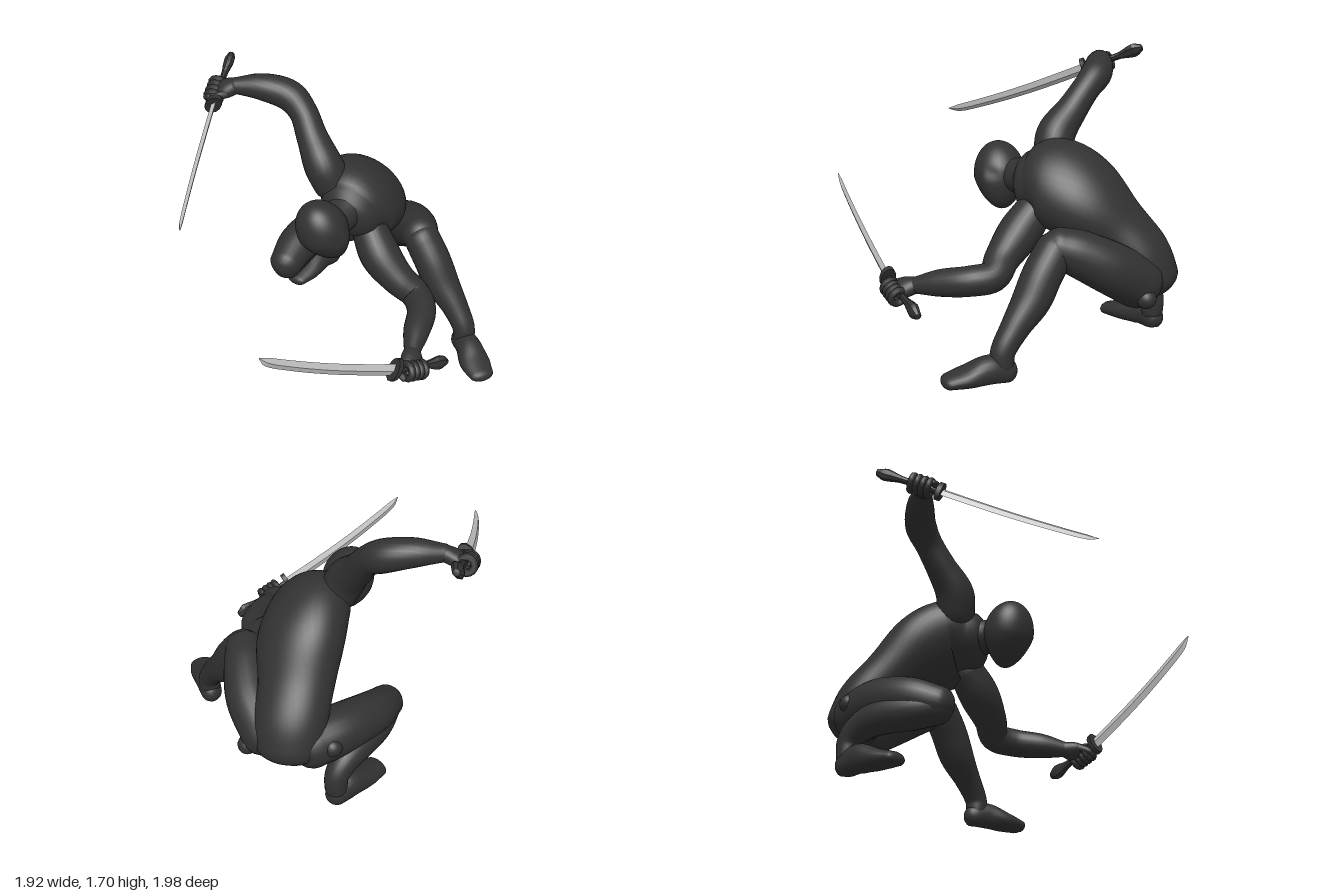
import * as THREE from 'three';

const cloth = new THREE.MeshStandardMaterial({ color: 0x323232 });
cloth.name = 'charcoal cloth';
const steel = new THREE.MeshStandardMaterial({ color: 0xc8c8c8 });
steel.name = 'pale steel';

const vec = (a) => new THREE.Vector3(a[0], a[1], a[2]);

function add(parent, name, geometry, material = cloth) {
  const mesh = new THREE.Mesh(geometry, material);
  mesh.name = name;
  parent.add(mesh);
  return mesh;
}

// Smooth round-ended loft. Row: x, y, z, half width, half depth, optional width direction.
function loft(rows, side = [1, 0, 0], { sides = 24, steps = 6, cap = 0.85, floor = -9 } = {}) {
  const path = new THREE.CatmullRomCurve3(rows.map(vec));
  const size = new THREE.CatmullRomCurve3(
    rows.map((r) => new THREE.Vector3(r[3], r[4] ?? r[3], 0)), false, 'catmullrom');
  const lean = new THREE.CatmullRomCurve3(
    rows.map((r) => vec(r.length > 5 ? r.slice(5) : side)), false, 'catmullrom');
  const rings = [];
  for (let k = 0; k < 5; k++) rings.push([0, Math.PI / 2 * (k / 5 - 1)]);
  const n = (rows.length - 1) * steps;
  for (let i = 0; i <= n; i++) rings.push([i / n, 0]);
  for (let k = 1; k <= 5; k++) rings.push([1, Math.PI / 2 * k / 5]);

  const pos = [], index = [];
  rings.forEach(([t, phi], i) => {
    const s = size.getPoint(t), T = path.getTangent(t), L = lean.getPoint(t);
    L.addScaledVector(T, -T.dot(L)).normalize();
    const B = T.clone().cross(L);
    const c = path.getPoint(t).addScaledVector(T, Math.sin(phi) * Math.min(s.x, s.y) * cap);
    const f = Math.max(Math.cos(phi), 0.01);
    for (let j = 0; j < sides; j++) {
      const q = j / sides * Math.PI * 2;
      const p = c.clone().addScaledVector(L, s.x * f * Math.cos(q)).addScaledVector(B, s.y * f * Math.sin(q));
      pos.push(p.x, Math.max(p.y, floor), p.z);
      if (i === rings.length - 1) continue;
      const a = i * sides + j, b = i * sides + (j + 1) % sides;
      index.push(a, b, b + sides, a, b + sides, a + sides);
    }
  });
  const g = new THREE.BufferGeometry();
  g.setAttribute('position', new THREE.Float32BufferAttribute(pos, 3));
  g.setIndex(index);
  g.computeVertexNormals();
  return g;
}

function faceted(geometry) {
  const g = geometry.toNonIndexed();
  g.computeVertexNormals();
  return g;
}

// Masked head: sphere narrowed to the chin, with a soft nose and eye hollows
function makeHead(parent) {
  const g = new THREE.SphereGeometry(1, 36, 28);
  const p = g.attributes.position;
  for (let i = 0; i < p.count; i++) {
    let x = p.getX(i), y = p.getY(i), z = p.getZ(i);
    if (y < 0) { x *= 1 + 0.32 * y; z *= 1 + 0.08 * y; }
    if (z > 0) {
      z *= 0.95;
      z += 0.07 * Math.exp(-((x / 0.18) ** 2) - ((y + 0.25) / 0.22) ** 2);
      z -= 0.06 * Math.exp(-(((Math.abs(x) - 0.38) / 0.2) ** 2) - ((y + 0.05) / 0.14) ** 2);
    }
    p.setXYZ(i, x * 0.157, y * 0.212, z * 0.168);
  }
  g.computeVertexNormals();
  const up = new THREE.Vector3(-0.35, 0.92, -0.14).normalize();
  const face = new THREE.Vector3(0.35, 0, 0.93);
  face.addScaledVector(up, -face.dot(up)).normalize();
  const m = new THREE.Matrix4().makeBasis(up.clone().cross(face), up, face);
  m.setPosition(-0.07, 0.97, 0.11);
  add(parent, 'head', g.applyMatrix4(m));
}

// Slightly curved sword with a diamond section, an oval guard and a flared grip
function makeSword(parent, name, guard, tip, pommel, edge) {
  const sword = new THREE.Group();
  sword.name = name;
  parent.add(sword);
  const G = vec(guard), P = vec(pommel);
  const X = vec(tip).sub(G), len = X.length();
  X.normalize();
  const Y = vec(edge).negate();
  Y.addScaledVector(X, -Y.dot(X)).normalize();
  const basis = new THREE.Matrix4().makeBasis(X, Y, X.clone().cross(Y)).setPosition(G);

  const section = (t, rise, half, thick) =>
    [...G.clone().addScaledVector(X, len * t).addScaledVector(Y, rise).toArray(), half, thick];
  add(sword, 'blade', faceted(loft([
    section(0, 0, 0.042, 0.014), section(0.25, -0.012, 0.041, 0.014), section(0.5, -0.016, 0.039, 0.013),
    section(0.75, -0.007, 0.036, 0.012), section(0.93, 0.01, 0.03, 0.01), section(1, 0.033, 0.003, 0.002),
  ], Y.toArray(), { sides: 4, steps: 4, cap: 0 })), steel);

  const plate = new THREE.CylinderGeometry(0.08, 0.08, 0.03, 12).rotateZ(Math.PI / 2).scale(1, 1, 0.6);
  add(sword, 'guard', plate.applyMatrix4(basis));

  const at = (t, a, b) => [...G.clone().lerp(P, t).toArray(), a, b];
  add(sword, 'grip', faceted(loft([
    at(0, 0.028, 0.02), at(0.35, 0.026, 0.02), at(0.62, 0.026, 0.021), at(0.86, 0.054, 0.032), at(1, 0.022, 0.02),
  ], Y.toArray(), { sides: 8, steps: 3, cap: 0.2 })));
}

// Fist: palm, four fingers curled round the grip and a thumb
function makeHand(parent, name, wrist, grip, guard, pommel) {
  const hand = new THREE.Group();
  hand.name = name;
  parent.add(hand);
  const W = vec(wrist), C = vec(grip);
  const axis = vec(guard).sub(vec(pommel)).normalize();
  const out = W.clone().sub(C);
  out.addScaledVector(axis, -out.dot(axis)).normalize();
  const knuckle = C.clone().addScaledVector(out, 0.03);
  const mid = W.clone().lerp(knuckle, 0.55);
  add(hand, 'palm', loft([
    [...wrist, 0.052, 0.048], [...mid.toArray(), 0.07, 0.05], [...knuckle.toArray(), 0.072, 0.044],
  ], axis.toArray()));
  const turn = new THREE.Matrix4().makeBasis(out, axis.clone().cross(out), axis);
  for (let i = 0; i < 4; i++) {
    const g = new THREE.TorusGeometry(0.045, 0.021, 8, 18).applyMatrix4(turn);
    const c = C.clone().addScaledVector(axis, (i - 1.5) * 0.036).addScaledVector(out, -0.008);
    add(hand, 'finger', g.translate(c.x, c.y, c.z));
  }
  const side = axis.clone().cross(out);
  const t0 = mid.clone().addScaledVector(axis, 0.05);
  const t1 = C.clone().addScaledVector(axis, 0.085).addScaledVector(side, 0.03);
  const t2 = C.clone().addScaledVector(axis, 0.075).addScaledVector(side, 0.03).addScaledVector(out, -0.04);
  add(hand, 'thumb', loft([t0, t1, t2].map((p, i) => [...p.toArray(), 0.027 - i * 0.004]), out.toArray(), { sides: 10 }));
}

export function createModel() {
  const model = new THREE.Group();
  model.name = 'crouchingSwordFighter';

  // Twisting torso from pelvis to neck
  add(model, 'torso', loft([
    [0.73, 0.41, -0.46, 0.2, 0.16, 0.71, 0, 0.71],
    [0.68, 0.55, -0.41, 0.22, 0.175, 0.71, -0.08, 0.71],
    [0.57, 0.71, -0.3, 0.235, 0.19, 0.62, -0.25, 0.74],
    [0.435, 0.89, -0.15, 0.29, 0.225, 0.4, -0.5, 0.75],
    [0.28, 0.985, -0.03, 0.28, 0.215, 0.3, -0.65, 0.7],
    [0.18, 0.97, 0.035, 0.2, 0.165, 0.3, -0.65, 0.7],
  ], [1, 0, 0], { sides: 36, cap: 0.65 }));
  add(model, 'neck', loft([[0.2, 1.0, 0.01, 0.14], [0.08, 0.985, 0.06, 0.11], [-0.02, 0.98, 0.09, 0.1]], [0, 1, 0]));
  makeHead(model);

  // Arms
  add(model, 'rightArm', loft([
    [0.16, 1.1, -0.13, 0.12], [0.125, 1.22, -0.175, 0.121], [0.125, 1.36, -0.295, 0.097], [0.13, 1.485, -0.4, 0.088],
    [0.1, 1.56, -0.5, 0.097], [-0.02, 1.605, -0.62, 0.084], [-0.15, 1.61, -0.72, 0.052],
  ]));
  add(model, 'leftArm', loft([
    [0.29, 0.82, 0.1, 0.115], [0.29, 0.69, 0.22, 0.128], [0.33, 0.575, 0.36, 0.105], [0.385, 0.5, 0.46, 0.094],
    [0.335, 0.48, 0.59, 0.09], [0.2, 0.455, 0.71, 0.08], [0.09, 0.43, 0.81, 0.05],
  ]));

  // Left leg: knee raised, foot forward
  add(model, 'leftThigh', loft([
    [0.78, 0.43, -0.3, 0.16], [0.765, 0.55, -0.1, 0.155], [0.69, 0.65, 0.08, 0.138], [0.64, 0.69, 0.18, 0.118],
  ]));
  add(model, 'leftShin', loft([
    [0.635, 0.675, 0.2, 0.115], [0.65, 0.55, 0.3, 0.117], [0.665, 0.42, 0.385, 0.112], [0.685, 0.29, 0.51, 0.085],
    [0.695, 0.17, 0.6, 0.072], [0.695, 0.09, 0.61, 0.07],
  ]));
  add(model, 'leftFoot', loft([
    [0.7, 0.055, 0.59, 0.07, 0.075], [0.675, 0.07, 0.68, 0.08, 0.088],
    [0.63, 0.045, 0.8, 0.098, 0.062], [0.602, 0.03, 0.9, 0.08, 0.042],
  ], [0.95, 0, 0.3], { cap: 1, floor: 0 }));

  // Right leg: folded under, knee pointing sideways
  add(model, 'rightThigh', loft([
    [0.61, 0.42, -0.51, 0.158], [0.4, 0.44, -0.53, 0.155], [0.15, 0.41, -0.495, 0.135], [-0.005, 0.36, -0.42, 0.11],
  ], [0, 1, 0]));
  add(model, 'rightShin', loft([
    [0, 0.34, -0.42, 0.1], [0.14, 0.325, -0.51, 0.11], [0.3, 0.32, -0.58, 0.105], [0.44, 0.28, -0.625, 0.088],
    [0.515, 0.2, -0.645, 0.074], [0.52, 0.1, -0.645, 0.07],
  ], [0, 0, 1]));
  add(model, 'rightFoot', loft([
    [0.52, 0.055, -0.65, 0.07, 0.075], [0.43, 0.075, -0.64, 0.08, 0.092],
    [0.295, 0.05, -0.605, 0.094, 0.066], [0.18, 0.032, -0.58, 0.08, 0.042],
  ], [0.25, 0, -0.95], { cap: 1, floor: 0 }));

  // Round hip joints
  for (const [name, x, y, z] of [['leftHipJoint', 0.9, 0.365, -0.265], ['rightHipJoint', 0.54, 0.45, -0.64]]) {
    add(model, name, new THREE.SphereGeometry(0.06, 20, 14).translate(x, y, z));
  }

  // Raised sword in the right hand, low sword in the left
  const upGuard = [-0.31, 1.53, -0.73], upEnd = [-0.025, 1.68, -0.975];
  makeSword(model, 'raisedSword', upGuard, [-0.95, 1.21, -0.075], upEnd, [-0.19, -0.81, -0.56]);
  makeHand(model, 'rightHand', [-0.15, 1.61, -0.72], [-0.235, 1.565, -0.81], upGuard, upEnd);
  const lowGuard = [-0.1, 0.44, 0.89], lowEnd = [0.285, 0.315, 0.905];
  makeSword(model, 'lowSword', lowGuard, [-0.968, 0.865, 0.775], lowEnd, [-0.46, -0.85, -0.1]);
  makeHand(model, 'leftHand', [0.09, 0.43, 0.81], [0.025, 0.395, 0.91], lowGuard, lowEnd);

  return model;
}
